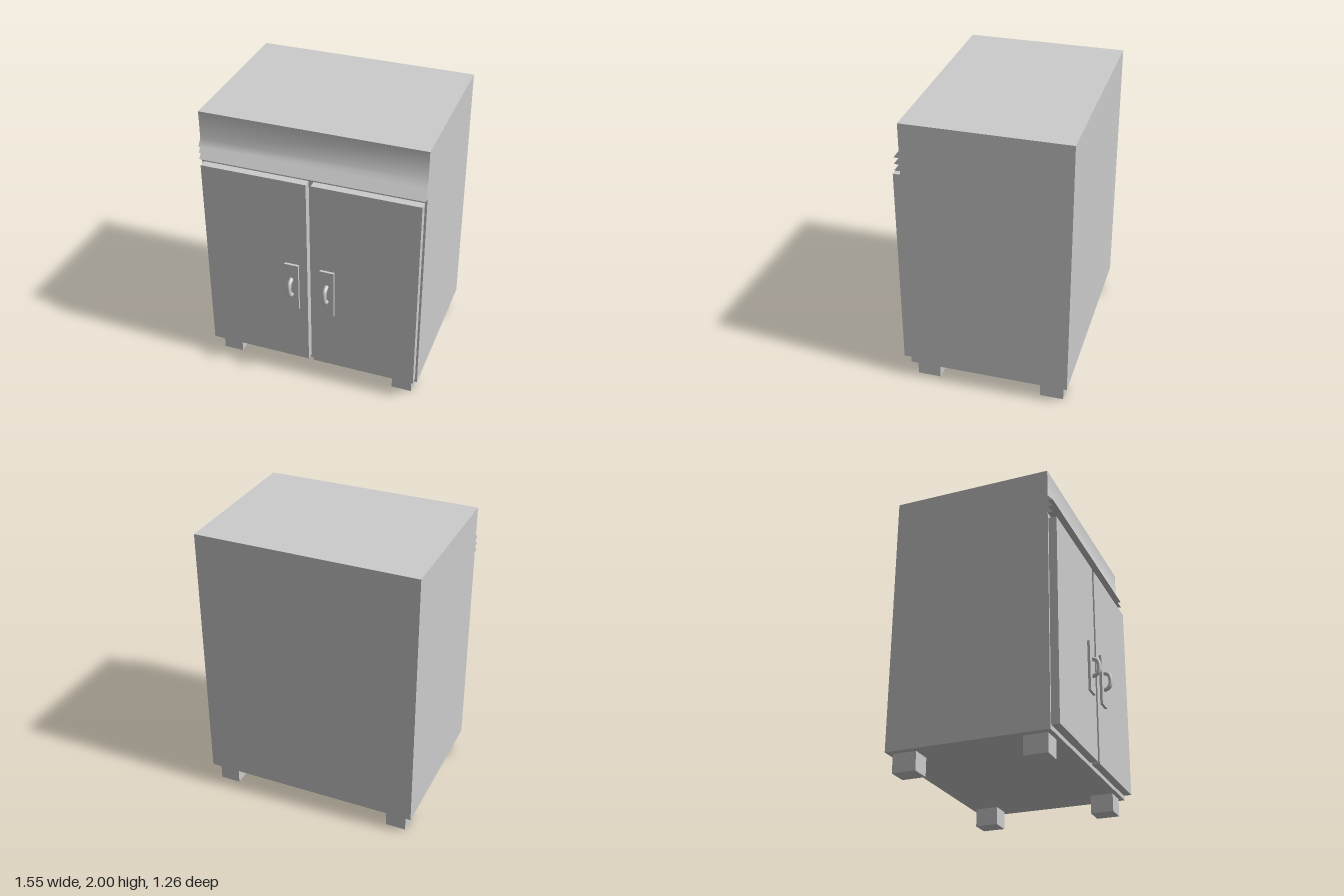
import * as THREE from 'three';
import { toCreasedNormals } from 'three/addons/utils/BufferGeometryUtils.js';

const material = new THREE.MeshStandardMaterial({ color: 0xcccccc });

function add(parent, name, geometry, x = 0, y = 0, z = 0) {
  const mesh = new THREE.Mesh(geometry, material);
  mesh.name = name;
  mesh.position.set(x, y, z);
  parent.add(mesh);
  return mesh;
}

// Box given by its lower and upper corners
function addBox(parent, name, [x0, y0, z0], [x1, y1, z1]) {
  return add(parent, name, new THREE.BoxGeometry(x1 - x0, y1 - y0, z1 - z0),
    (x0 + x1) / 2, (y0 + y1) / 2, (z0 + z1) / 2);
}

// Cabinet: side profile (z, y) with a saw-tooth louver strip, swept across x
function cabinetGeometry() {
  const width = 1.55, back = -0.63, front = 0.497, tip = 0.535;
  const shape = new THREE.Shape();
  shape.moveTo(back, 0.13);
  shape.lineTo(front, 0.13);
  for (const y of [1.664, 1.711, 1.757]) {
    shape.lineTo(front, y);
    shape.lineTo(tip, y);
  }
  shape.lineTo(front, 1.803);
  shape.lineTo(front, 2);
  shape.lineTo(back, 2);
  const geometry = new THREE.ExtrudeGeometry(shape, { depth: width, bevelEnabled: false });
  geometry.translate(0, 0, -width / 2);
  geometry.rotateY(-Math.PI / 2);
  geometry.scale(-1, 1, 1);
  // Mirror so that local x maps to +z, then restore the face winding
  geometry.scale(-1, 1, 1);
  return geometry;
}

// Bent pull handle in the y-z plane
function handleGeometry() {
  const path = new THREE.CatmullRomCurve3([
    [0.56, 0.862], [0.578, 0.858], [0.602, 0.847], [0.614, 0.825],
    [0.614, 0.768], [0.602, 0.746], [0.578, 0.735], [0.56, 0.731],
  ].map(([z, y]) => new THREE.Vector3(0, y, z)));
  return new THREE.TubeGeometry(path, 40, 0.015, 16, false);
}

export function createModel() {
  const model = new THREE.Group();
  model.name = 'cabinet';

  add(model, 'cabinetBody', toCreasedNormals(cabinetGeometry(), 0.8));

  for (const side of [-1, 1]) {
    const label = side > 0 ? 'left' : 'right';
    const span = (a, b) => (side > 0 ? [a, b] : [-b, -a]);

    // Door with its handle plate and pull
    const door = new THREE.Group();
    door.name = label + 'DoorAssembly';
    const [d0, d1] = span(0.017, 0.76);
    addBox(door, label + 'Door', [d0, 0.16, 0.48], [d1, 1.63, 0.553]);
    const [p0, p1] = span(0.077, 0.179);
    addBox(door, label + 'HandlePlate', [p0, 0.61, 0.54], [p1, 0.98, 0.571]);
    add(door, label + 'Handle', handleGeometry(), side * 0.128);
    model.add(door);

    // Feet
    const [f0, f1] = span(0.583, 0.727);
    addBox(model, label + 'FrontFoot', [f0, 0, 0.3], [f1, 0.13, 0.465]);
    addBox(model, label + 'BackFoot', [f0, 0, -0.597], [f1, 0.13, -0.43]);
  }
  return model;
}
